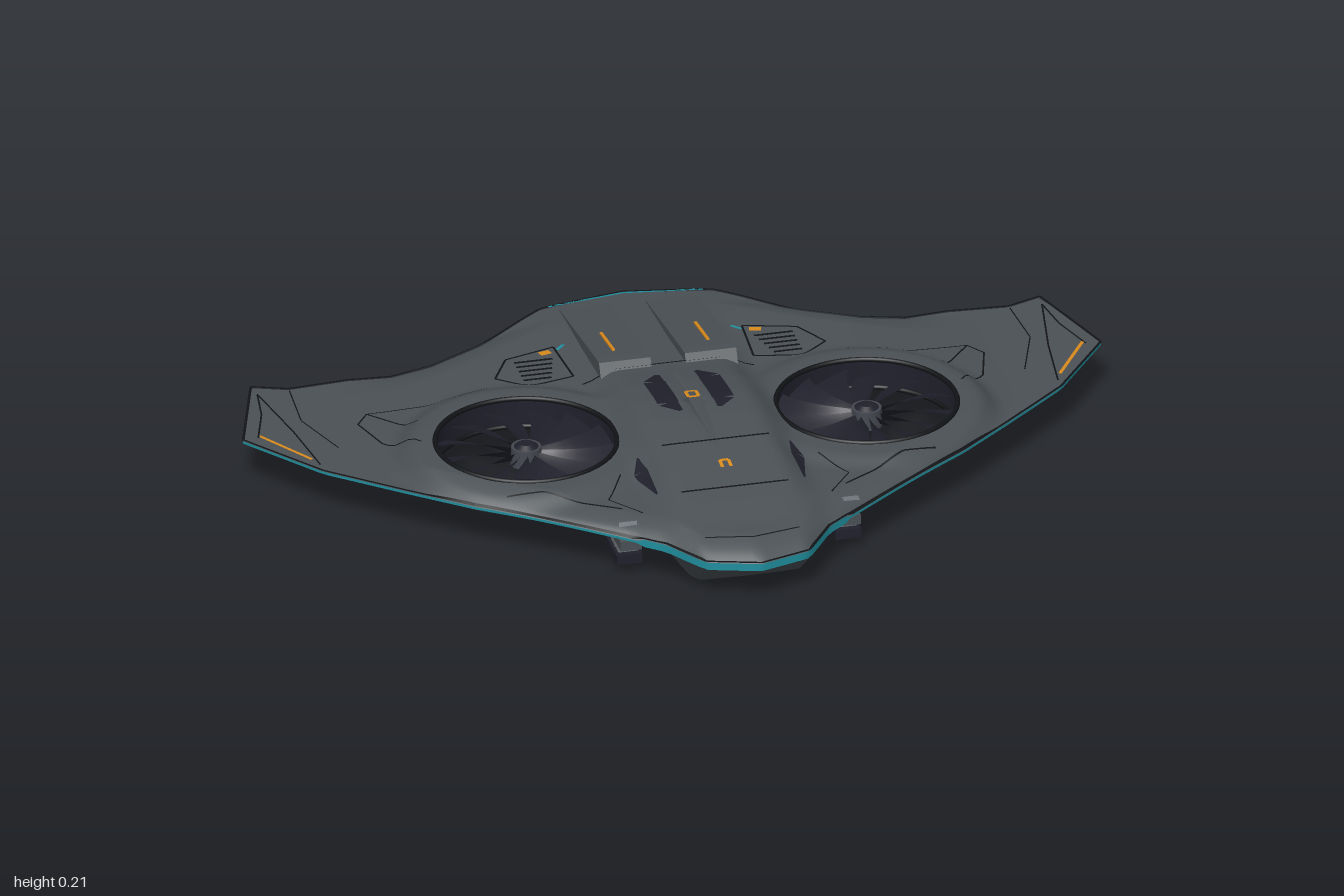
import * as THREE from 'three';

const mat = (name, color, side = THREE.FrontSide) => {
  const m = new THREE.MeshStandardMaterial({ color, side });
  m.name = name;
  return m;
};
const lerp = (table, v) => {
  for (let i = 1; i < table.length; i++) {
    const [a, ya] = table[i - 1], [b, yb] = table[i];
    if (v <= b) return ya + (yb - ya) * Math.max(0, (v - a) / (b - a));
  }
  return table[table.length - 1][1];
};
const ss = (a, b, v) => THREE.MathUtils.smoothstep(v, a, b);

// Plan outline: front and rear edge z for each |x|
const FRONT = [[0, 0.65], [0.12, 0.615], [0.19, 0.52], [0.57, 0.25], [0.7, 0.14], [0.86, 0], [1, -0.19]];
const REAR = [[0, -0.66], [0.2, -0.62], [0.3, -0.555], [0.38, -0.505], [0.5, -0.44], [0.6, -0.412],
  [0.7, -0.42], [0.84, -0.41], [0.92, -0.44], [1, -0.19]];
// Centreline heights by z
const CTOP = [[-0.66, 0.132], [-0.4, 0.15], [-0.2, 0.172], [-0.1, 0.19], [0, 0.202], [0.1, 0.204], [0.2, 0.197],
  [0.3, 0.183], [0.42, 0.162], [0.55, 0.135], [0.65, 0.105]];
const CBOT = [[-0.66, 0.095], [-0.22, 0.085], [-0.13, 0.045], [-0.05, 0.018], [0.1, 0.004], [0.25, 0],
  [0.45, 0.002], [0.52, 0.008], [0.6, 0.045], [0.65, 0.075]];
const FAN = { x: 0.397, z: 0.037, r: 0.208 };

// Upper (up = 1) or lower (up = -1) skin height
function height(x, z, up) {
  x = Math.abs(x);
  const top = up > 0;
  const mid = 0.112 - 0.022 * ss(0.3, 0.65, z);
  const inner = 1 - ss(0.45, 0.78, x);
  let y = top ? 0.114 + 0.024 * inner : 0.108 - 0.012 * inner;
  const f = 1 - ss(0.25, 0.31, Math.hypot(x - FAN.x, z - FAN.z));
  y += ((top ? 0.156 : 0.086) - y) * f;
  const back = ss(-0.15, -0.4, z) || 0;
  const g = 1 - (top ? ss(0.12, 0.205, x) : ss(0.11, 0.215, x));
  const centre = lerp(top ? CTOP : CBOT, z);
  y += (top ? Math.max(0, centre - y) : Math.min(0, centre - y)) * g;
  const wide = 1 - ss(0.15, 0.42, x);
  if (z < -0.4) y += (centre - y) * wide * ss(0.4, 0.6, -z);
  const dF = (lerp(FRONT, x) - z) * 0.75, dR = (z - lerp(REAR, x)) * 0.8;
  const kF = Math.sqrt(THREE.MathUtils.clamp(dF / 0.06, 0, 1));
  const kR = Math.max(Math.sqrt(THREE.MathUtils.clamp(dR / 0.06, 0, 1)), wide);
  const lip = x < 0.25 && z > 0 ? 0.009 : 0.003;
  y = mid + (y - mid) * Math.min(kF, kR);
  return top ? Math.max(y, mid + lip) : Math.min(y, mid - lip);
}

function buffer(pos, idx) {
  const g = new THREE.BufferGeometry();
  g.setAttribute('position', new THREE.Float32BufferAttribute(pos, 3));
  g.setIndex(idx);
  g.computeVertexNormals();
  return g;
}

// Skin grid with circular fan openings
function skin(up) {
  const NX = 120, NZ = 90, pos = [], idx = [], cut = [];
  for (let i = 0; i <= NX; i++) for (let j = 0; j <= NZ; j++) {
    let x = -1 + 2 * i / NX;
    const zf = lerp(FRONT, Math.abs(x));
    let z = zf + (lerp(REAR, Math.abs(x)) - zf) * j / NZ;
    const cx = Math.sign(x) * FAN.x, r = Math.hypot(x - cx, z - FAN.z);
    const inside = r < FAN.r;
    if (inside) {
      const k = FAN.r / Math.max(r, 1e-4);
      x = cx + (x - cx) * k;
      z = FAN.z + (z - FAN.z) * k;
    }
    cut.push(inside);
    pos.push(x, height(x, z, up), z);
  }
  const tri = (a, b, c) => {
    if (!(cut[a] && cut[b] && cut[c])) idx.push(...(up > 0 ? [a, b, c] : [a, c, b]));
  };
  for (let i = 0; i < NX; i++) for (let j = 0; j < NZ; j++) {
    const a = i * (NZ + 1) + j, b = a + NZ + 1;
    tri(a, b, a + 1);
    tri(b, b + 1, a + 1);
  }
  return buffer(pos, idx);
}

// Vertical wall closing the two skins along an outline
function edgeWall(table) {
  const pos = [], idx = [], N = 120;
  for (let i = 0; i <= N; i++) {
    const x = -1 + 2 * i / N, z = lerp(table, Math.abs(x));
    pos.push(x, height(x, z, 1), z, x, height(x, z, -1), z);
    if (i < N) idx.push(2 * i, 2 * i + 1, 2 * i + 2, 2 * i + 1, 2 * i + 3, 2 * i + 2);
  }
  return buffer(pos, idx);
}

// Thin band laid on the upper skin; points are [x, z, width]
function ribbon(points, lift = 0.004) {
  const pos = [], idx = [];
  for (let p = 1; p < points.length; p++) {
    const [x0, z0, w0] = points[p - 1], [x1, z1, w1] = points[p];
    const len = Math.hypot(x1 - x0, z1 - z0), n = Math.ceil(len / 0.02);
    const nx = -(z1 - z0) / len, nz = (x1 - x0) / len;
    for (let i = 0; i <= n; i++) {
      const t = i / n, w = (w0 + (w1 - w0) * t) / 2, b = pos.length / 3;
      for (const s of [-1, 1]) {
        const x = x0 + (x1 - x0) * t + s * nx * w, z = z0 + (z1 - z0) * t + s * nz * w;
        pos.push(x, height(x, z, 1) + lift, z);
      }
      if (i < n) idx.push(b, b + 1, b + 2, b + 1, b + 3, b + 2);
    }
  }
  return buffer(pos, idx);
}

export function createModel() {
  const root = new THREE.Group();
  root.name = 'twinFanAircraft';
  const D = THREE.DoubleSide;
  const hull = mat('hullGrey', 0x4a5054), dark = mat('fanDark', 0x20202c, D), line = mat('seamBlack', 0x111316, D);
  const cyan = mat('lightCyan', 0x1f8d9c, D), orange = mat('markOrange', 0xd98a1c, D);
  const metal = mat('gearGrey', 0x6c7277), hubMat = mat('hubGrey', 0x44474f);
  const add = (parent, name, geo, m, x = 0, y = 0, z = 0) => {
    const mesh = new THREE.Mesh(geo, m);
    mesh.name = name;
    mesh.position.set(x, y, z);
    parent.add(mesh);
    return mesh;
  };
  const mark = (name, pts, w, m) => add(root, name, ribbon(pts.map(([x, z, pw]) => [x, z, pw ?? w])), m);
  const pair = (name, pts, w, m) => [1, -1].forEach(s => mark(name, pts.map(([x, z, pw]) => [s * x, z, pw]), w, m));

  // Hull
  add(root, 'upperSkin', skin(1), hull);
  add(root, 'lowerSkin', skin(-1), hull);
  add(root, 'leadingEdgeLight', edgeWall(FRONT), cyan);
  add(root, 'trailingEdge', edgeWall(REAR), line);
  pair('leadingEdgeSeam', FRONT, 0.006, line);
  pair('trailingEdgeSeam', REAR, 0.006, line);
  mark('tailLight', [[-0.18, -0.622], [0, -0.652], [0.18, -0.622]], 0.007, cyan);

  // Centre deck details
  pair('deckVent', [[0.045, 0.075, 0.01], [0.064, 0.03, 0.05], [0.064, -0.1, 0.05], [0.045, -0.15, 0.01]], 0, dark);
  mark('deckMarker', [[-0.012, -0.02], [0.012, -0.02], [0.012, 0.012], [-0.012, 0.012], [-0.012, -0.02]], 0.008, orange);
  mark('noseMarker', [[-0.01, 0.322], [-0.01, 0.296], [0.01, 0.296], [0.01, 0.322]], 0.008, orange);
  for (const z of [0.215, 0.395]) mark('deckSeam', [[-0.125, z], [0.125, z]], 0.005, line);
  mark('noseSeam', [[-0.11, 0.56], [0, 0.585], [0.11, 0.56]], 0.003, line);
  mark('rearDeckSeam', [[-0.2, -0.225], [0.2, -0.225]], 0.005, line);

  // Raised rear fairings
  const wedge = new THREE.Shape([[0.21, 0.15], [0.232, 0.188], [0.26, 0.186], [0.4, 0.167], [0.6, 0.139], [0.6, 0.12]]
    .map(p => new THREE.Vector2(...p)));
  for (const s of [1, -1]) {
    const geo = new THREE.ExtrudeGeometry(wedge, { depth: 0.12, bevelEnabled: false });
    geo.rotateY(Math.PI / 2).translate(s * 0.1 - 0.06, 0, 0);
    add(root, 'rearFairing', geo, hull);
    const stripe = add(root, 'fairingStripe', new THREE.BoxGeometry(0.007, 0.004, 0.12), orange, s * 0.11, 0.175, -0.355);
    stripe.rotation.x = -0.136;
  }

  // Mirrored skin markings
  pair('sideIntake', [[0.172, 0.36, 0.004], [0.183, 0.25, 0.03], [0.178, 0.2, 0.004]], 0, dark);
  pair('frontLamp', [[0.24, 0.445], [0.28, 0.435]], 0.012, metal);
  pair('rearVentSeam', [[0.22, -0.42], [0.34, -0.385], [0.385, -0.3], [0.32, -0.245], [0.21, -0.27], [0.22, -0.42]], 0.005, line);
  pair('rearVentMarker', [[0.232, -0.4], [0.258, -0.394]], 0.018, orange);
  pair('rearVentLight', [[0.195, -0.425], [0.215, -0.405]], 0.008, cyan);
  for (let i = 0; i < 5; i++) pair('ventSlot', [[0.235 + i * 0.006, -0.365 + i * 0.022], [0.325, -0.365 + i * 0.022]], 0.008, line);
  pair('wingPanelSeam', [[0.61, -0.12], [0.7, -0.24], [0.73, -0.2], [0.7, -0.09], [0.63, -0.01]], 0.004, line);
  pair('innerPanelSeam', [[0.7, -0.24], [0.5, -0.21], [0.42, -0.235]], 0.003, line);
  pair('shoulderSeam', [[0.26, 0.39], [0.42, 0.29], [0.5, 0.27]], 0.004, line);
  pair('shoulderPanelSeam', [[0.23, 0.25], [0.28, 0.34], [0.22, 0.42]], 0.003, line);
  pair('tipPanelSeam', [[0.86, -0.03], [0.88, -0.2], [0.915, -0.4], [0.93, -0.3], [0.965, -0.19]], 0.004, line);
  pair('flapSeam', [[0.84, -0.4], [0.85, -0.25], [0.8, -0.1]], 0.003, line);
  pair('tipStripe', [[0.872, -0.06], [0.96, -0.2]], 0.008, orange);

  // Ducted fans
  const BLADES = 13, pitch = Math.PI * 2 / BLADES;
  for (const s of [1, -1]) {
    const fan = new THREE.Group();
    fan.name = 'ductedFan';
    fan.position.set(s * FAN.x, 0.12, FAN.z);
    root.add(fan);
    add(fan, 'ductWall', new THREE.CylinderGeometry(FAN.r, FAN.r, 0.072, 64, 1, true), dark);
    for (const y of [0.036, -0.034]) {
      const rim = add(fan, 'ductRim', new THREE.TorusGeometry(FAN.r - 0.002, 0.006, 8, 64), line, 0, y);
      rim.rotation.x = Math.PI / 2;
    }
    add(fan, 'hub', new THREE.CylinderGeometry(0.034, 0.036, 0.044, 24), hubMat);
    add(fan, 'hubCap', new THREE.CylinderGeometry(0.016, 0.028, 0.008, 24), dark, 0, 0.026);
    for (let b = 0; b < BLADES; b++) {
      const geo = new THREE.PlaneGeometry(1, 1, 4, 6), p = geo.attributes.position;
      for (let i = 0; i < p.count; i++) {
        const u = p.getX(i), v = p.getY(i) + 0.5, r = 0.03 + 0.176 * v;
        const a = s * (b * pitch + u * pitch * (0.97 - 0.13 * v) + 0.2 * v * v);
        p.setXYZ(i, r * Math.cos(a), u * 0.026, r * Math.sin(a));
      }
      geo.computeVertexNormals();
      add(fan, 'fanBlade', geo, dark);
    }
  }

  // Landing gear
  for (const s of [1, -1]) for (const z of [0.386, -0.3]) {
    const gear = new THREE.Group();
    gear.name = z > 0 ? 'frontGear' : 'rearGear';
    gear.position.set(s * 0.255, 0, z);
    root.add(gear);
    add(gear, 'strut', new THREE.CylinderGeometry(0.024, 0.024, 0.06, 16), metal, 0, 0.074);
    add(gear, 'mount', new THREE.BoxGeometry(0.05, 0.024, z > 0 ? 0.13 : 0.06), hull, 0, z > 0 ? 0.078 : 0.096);
    add(gear, 'ankle', new THREE.BoxGeometry(0.045, 0.012, 0.07), metal, 0, 0.052);
    add(gear, 'foot', new THREE.BoxGeometry(0.06, 0.024, 0.1), dark, 0, 0.036);
  }
  return root;
}
